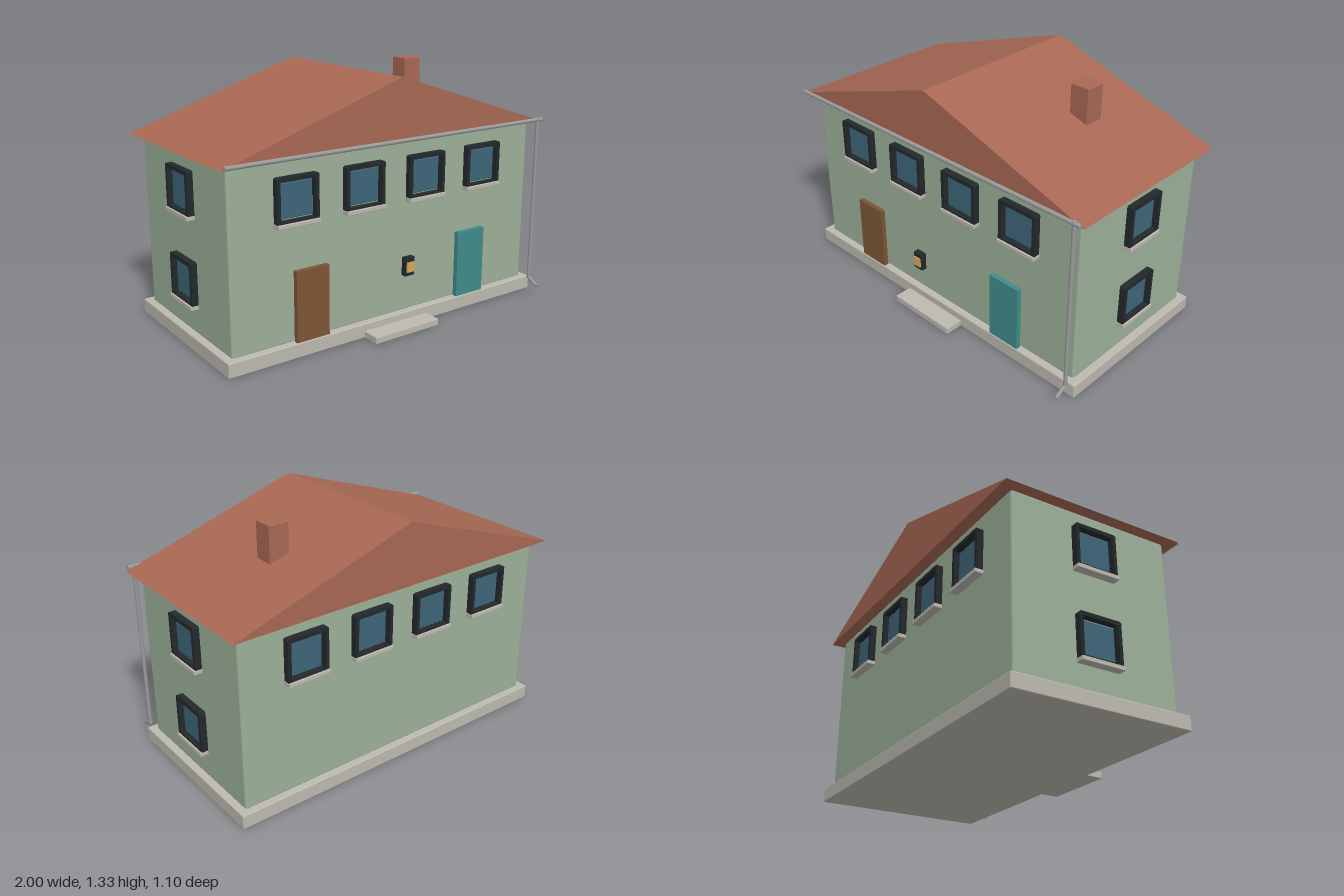
import * as THREE from 'three';
import { RoundedBoxGeometry } from 'three/addons/geometries/RoundedBoxGeometry.js';

const mat = (color) => new THREE.MeshStandardMaterial({ color });
const wallMat = mat(0x9cb098), roofMat = mat(0xa86854), stoneMat = mat(0xbdb9b0);
const darkMat = mat(0x23282b), glassMat = mat(0x3e6578), metalMat = mat(0x999a9b);
const brownMat = mat(0x7c5535), tealMat = mat(0x3f8c8a), glowMat = mat(0xd9a75a);

function add(parent, name, geometry, material, x = 0, y = 0, z = 0) {
  const mesh = new THREE.Mesh(geometry, material);
  mesh.name = name;
  mesh.position.set(x, y, z);
  parent.add(mesh);
  return mesh;
}

// Box given by its limits on each axis, with optional rounded edges
function box(parent, name, material, [x0, x1], [y0, y1], [z0, z1], r = 0) {
  const size = [x1 - x0, y1 - y0, z1 - z0];
  const geometry = r ? new RoundedBoxGeometry(...size, 2, r) : new THREE.BoxGeometry(...size);
  return add(parent, name, geometry, material, (x0 + x1) / 2, (y0 + y1) / 2, (z0 + z1) / 2);
}

// Window facing +z: origin on the wall plane at the bottom of the frame
function createWindow() {
  const group = new THREE.Group();
  group.name = 'window';
  const w = 0.116, h = 0.222, c = 0.007;
  const outline = new THREE.Shape([
    [-w, 0], [w, 0], [w, h - c], [w - c, h], [c - w, h], [-w, h - c],
  ].map(([x, y]) => new THREE.Vector2(x, y)));
  outline.holes.push(new THREE.Path([
    [-0.097, 0.01], [-0.097, 0.201], [0.097, 0.201], [0.097, 0.01],
  ].map(([x, y]) => new THREE.Vector2(x, y))));
  const frame = new THREE.ExtrudeGeometry(outline, { depth: 0.045, bevelEnabled: false });
  add(group, 'windowFrame', frame, darkMat, 0, 0, -0.01);
  box(group, 'windowGlass', glassMat, [-0.09, 0.09], [0.017, 0.192], [-0.01, 0.012], 0.004);
  box(group, 'windowSill', stoneMat, [-0.118, 0.118], [-0.021, 0.001], [-0.01, 0.044], 0.003);
  return group;
}

export function createModel() {
  const house = new THREE.Group();
  house.name = 'house';

  // Foundation, step and walls
  box(house, 'foundation', stoneMat, [-0.985, 0.985], [0, 0.077], [-0.528, 0.442], 0.006);
  box(house, 'frontStep', stoneMat, [-0.205, 0.205], [0, 0.037], [0.42, 0.54], 0.004);
  box(house, 'walls', wallMat, [-0.945, 0.945], [0.07, 0.993], [-0.49, 0.403], 0.012);

  // Gabled roof with its ridge running front to back
  const gable = new THREE.Shape();
  gable.moveTo(-1, 0).lineTo(1, 0).lineTo(0, 0.328).closePath();
  const roof = new THREE.ExtrudeGeometry(gable, { depth: 1.01, bevelEnabled: false });
  add(house, 'roof', roof, roofMat, 0, 0.993, -0.549);
  box(house, 'chimney', roofMat, [0.457, 0.567], [1.08, 1.327], [-0.196, -0.084], 0.005);

  // Four upper windows on the front and the back
  for (const x of [-0.588, -0.196, 0.196, 0.588]) {
    const front = createWindow();
    front.position.set(x, 0.69, 0.403);
    const back = createWindow();
    back.position.set(x, 0.69, -0.49);
    back.rotation.y = Math.PI;
    house.add(front, back);
  }

  // One window per floor on each side
  for (const side of [-1, 1]) {
    for (const y of [0.232, 0.69]) {
      const win = createWindow();
      win.position.set(side * 0.945, y, -0.044);
      win.rotation.y = side * Math.PI / 2;
      house.add(win);
    }
  }

  // Doors
  box(house, 'brownDoor', brownMat, [-0.607, -0.42], [0.078, 0.444], [0.412, 0.439]);
  box(house, 'tealDoor', tealMat, [0.418, 0.606], [0.078, 0.444], [0.412, 0.439]);

  // Lamp
  box(house, 'lampCase', darkMat, [-0.03, 0.03], [0.325, 0.423], [0.512, 0.544], 0.004);
  box(house, 'lampGlow', glowMat, [-0.022, 0.022], [0.346, 0.398], [0.535, 0.551]);

  // Gutter and downpipe with an angled outlet
  const gutter = new THREE.CylinderGeometry(0.011, 0.011, 1.97, 12);
  add(house, 'gutter', gutter, metalMat, 0, 1.007, 0.471).rotation.z = Math.PI / 2;
  const pipe = new THREE.CylinderGeometry(0.01, 0.01, 0.935, 12);
  add(house, 'downpipe', pipe, metalMat, 0.952, 0.5505, 0.471);
  const outlet = new THREE.CylinderGeometry(0.01, 0.01, 0.077, 12);
  add(house, 'downpipeOutlet', outlet, metalMat, 0.952, 0.067, 0.503).rotation.x = 2.07;

  return house;
}
